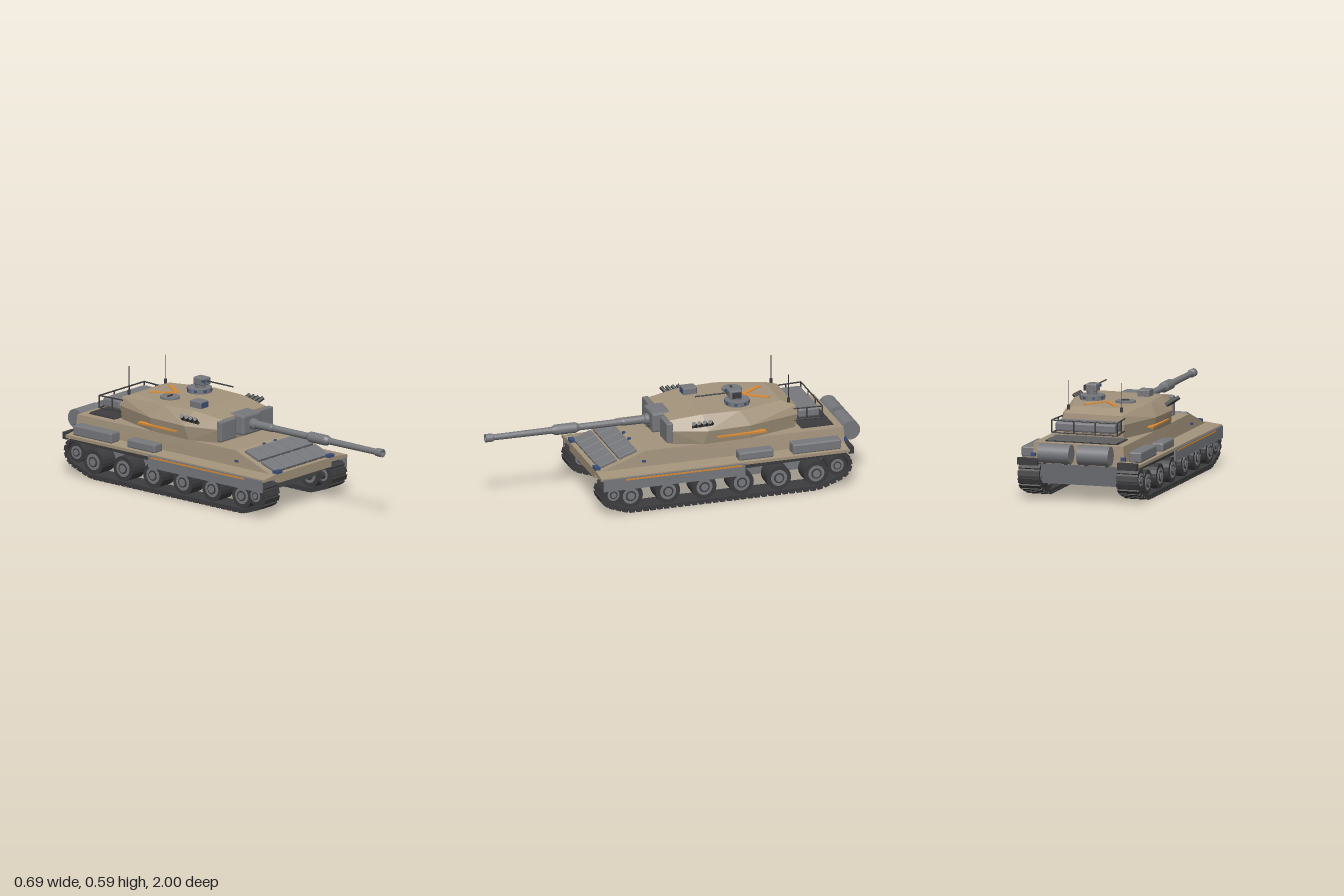
import * as THREE from 'three';
import { RoundedBoxGeometry } from 'three/addons/geometries/RoundedBoxGeometry.js';
import { ConvexGeometry } from 'three/addons/geometries/ConvexGeometry.js';

const mat = (color, flat = true) => new THREE.MeshStandardMaterial({ color, flatShading: flat });
const tan = mat(0xa3937c), grey = mat(0x77787c), dark = mat(0x3c3c3e), blue = mat(0x3c4f7c), orange = mat(0xd98a35);
const greySmooth = mat(0x77787c, false), darkSmooth = mat(0x3c3c3e, false);
const V = (x, y, z) => new THREE.Vector3(x, y, z);

export function createModel() {
  const root = new THREE.Group();
  const add = (name, geo, m, x = 0, y = 0, z = 0, parent = root) => {
    const mesh = new THREE.Mesh(geo, m);
    mesh.name = name;
    mesh.position.set(x, y, z);
    parent.add(mesh);
    return mesh;
  };
  // Box given by its extents on each axis, optionally with chamfered edges
  const box = (name, m, [x0, x1], [y0, y1], [z0, z1], chamfer = 0) => {
    const w = Math.abs(x1 - x0), h = y1 - y0, d = Math.abs(z1 - z0);
    const g = chamfer ? new RoundedBoxGeometry(w, h, d, 1, chamfer) : new THREE.BoxGeometry(w, h, d);
    return add(name, g, m, (x0 + x1) / 2, (y0 + y1) / 2, (z0 + z1) / 2);
  };
  // Convex solid from points mirrored across x
  const solid = (name, m, pts) =>
    add(name, new ConvexGeometry(pts.flatMap(([x, y, z]) => [V(x, y, z), V(-x, y, z)])), m);
  const rod = (name, m, a, b, r, sides = 6) => {
    const dir = b.clone().sub(a);
    const mesh = add(name, new THREE.CylinderGeometry(r, r, dir.length(), sides), m);
    mesh.position.copy(a).addScaledVector(dir, 0.5);
    mesh.quaternion.setFromUnitVectors(V(0, 1, 0), dir.normalize());
    return mesh;
  };

  // Hull
  solid('lowerHull', grey, [[0.21, 0.085, 0.33], [0.21, 0.172, 0.455], [0.21, 0.21, 0.455],
    [0.21, 0.085, -0.86], [0.21, 0.21, -0.89]]);
  solid('upperHull', tan, [[0.252, 0.21, 0.465], [0.245, 0.305, 0.2], [0.255, 0.21, -0.895], [0.245, 0.305, -0.89]]);
  solid('fenders', tan, [[0.335, 0.196, 0.47], [0.335, 0.21, 0.47], [0.25, 0.22, 0.47], [0.335, 0.196, -0.895],
    [0.335, 0.212, -0.895], [0.25, 0.222, -0.895]]);
  box('nosePlate', tan, [-0.21, 0.21], [0.17, 0.2], [0.44, 0.468]);

  // Glacis armour blocks, in the plane of the sloped front
  const slope = Math.atan2(0.095, 0.265);
  for (let row = 0; row < 2; row++) for (let i = -2; i <= 2; i++) {
    const z = row ? 0.397 : 0.287;
    const block = add('glacisBlock', new RoundedBoxGeometry(0.083, 0.016, 0.104, 1, 0.003), grey,
      i * 0.088, 0.305 - (z - 0.2) * Math.tan(slope) + 0.01, z);
    block.rotation.x = slope;
  }

  // Engine deck grille
  box('grilleBed', dark, [-0.2, 0.2], [0.3, 0.308], [-0.85, -0.68]);
  for (let i = 0; i < 6; i++) {
    const slat = box('grilleSlat', dark, [-0.195, 0.195], [0.306, 0.312], [-0.845 + i * 0.03, -0.823 + i * 0.03]);
    slat.rotation.x = 0.35;
  }

  // Track outline: outermost point over all wheel circles for each direction
  const wheelZ = [0.305, 0.1, -0.1, -0.305, -0.51, -0.715];
  const circles = [[0.4, 0.11, 0.05], [-0.83, 0.125, 0.057], [0.305, 0.094, 0.067], [-0.715, 0.094, 0.067]];
  const beltPoints = grow => Array.from({ length: 64 }, (_, i) => {
    const a = i / 64 * Math.PI * 2, c = Math.cos(a), s = Math.sin(a);
    const [z, y, r] = circles.reduce((p, q) =>
      q[0] * c + q[1] * s + q[2] > p[0] * c + p[1] * s + p[2] ? q : p);
    return new THREE.Vector2(z + (r + grow) * c, y + (r + grow) * s);
  });
  const belt = new THREE.Shape(beltPoints(0.016));
  belt.closePath();
  belt.holes.push(new THREE.Path(beltPoints(0.001)));
  const beltGeo = new THREE.ExtrudeGeometry(belt, { depth: 0.116, bevelEnabled: false });
  beltGeo.translate(0, 0, -0.058).rotateY(-Math.PI / 2);
  const pads = belt.getSpacedPoints(76);

  const discs = [[0.067, 0.1, dark], [0.044, 0.106, greySmooth], [0.028, 0.11, darkSmooth], [0.02, 0.116, greySmooth]];
  for (const s of [-1, 1]) {
    add('trackBelt', beltGeo, dark, s * 0.271, 0, 0);
    for (let i = 0; i < 76; i++) {
      const a = pads[i], b = pads[i + 1];
      const pad = add('trackPad', new THREE.BoxGeometry(0.118, 0.012, a.distanceTo(b) * 0.72), dark,
        s * 0.271, (a.y + b.y) / 2, (a.x + b.x) / 2);
      pad.rotation.x = -Math.atan2(b.y - a.y, b.x - a.x);
      pad.translateY(-0.004);
    }
    // Road wheels, front idler and rear sprocket
    const wheels = [...wheelZ.map(z => [z, 0.094, 1]), [0.4, 0.11, 0.74], [-0.83, 0.125, 0.8]];
    wheels.forEach(([z, y, k], n) => {
      const wheel = new THREE.Group();
      wheel.name = n < 6 ? 'roadWheel' : n === 6 ? 'idler' : 'sprocket';
      wheel.position.set(s * 0.271, y, z);
      root.add(wheel);
      discs.forEach(([r, w, m], i) => {
        const disc = add(i ? 'wheelDisc' : 'tyre', new THREE.CylinderGeometry(r * k, r * k, w, 20), m, 0, 0, 0, wheel);
        disc.rotation.z = Math.PI / 2;
      });
      for (let i = 0; i < 6; i++) {
        const a = i * Math.PI / 3;
        const bolt = add('wheelBolt', new THREE.CylinderGeometry(0.004, 0.004, 0.112, 6), grey,
          0, Math.sin(a) * 0.036 * k, Math.cos(a) * 0.036 * k, wheel);
        bolt.rotation.z = Math.PI / 2;
      }
      rod('axle', dark, V(s * 0.2, y, z), V(s * 0.23, y, z), 0.02, 10);
    });

    // Side skirts, stowage, lamps and mudguards
    box('sideSkirt', grey, [s * 0.333, s * 0.343], [0.14, 0.205], [-0.32, 0.46]);
    box('skirtStripe', orange, [s * 0.342, s * 0.346], [0.192, 0.2], [-0.3, 0.34]);
    box('rearStowageBox', grey, [s * 0.26, s * 0.33], [0.216, 0.272], [-0.85, -0.585], 0.008);
    box('midStowageBox', grey, [s * 0.262, s * 0.328], [0.216, 0.262], [-0.48, -0.29], 0.008);
    box('headlight', blue, [s * 0.187, s * 0.23], [0.22, 0.236], [0.44, 0.47]);
    box('sideLamp', blue, [s * 0.248, s * 0.257], [0.245, 0.256], [0.2, 0.22]);
    box('periscope', blue, [s * 0.04, s * 0.05], [0.294, 0.308], [0.215, 0.23]);
    box('rearMudguard', dark, [s * 0.22, s * 0.33], [0.185, 0.222], [-0.92, -0.893]);
    box('tailLight', blue, [s * 0.235, s * 0.26], [0.23, 0.25], [-0.905, -0.89]);

    // Fuel drum with brackets
    rod('fuelDrum', greySmooth, V(s * 0.022, 0.26, -0.946), V(s * 0.195, 0.26, -0.946), 0.052, 24);
    for (const x of [0.05, 0.165]) box('drumBracket', dark, [s * x, s * (x + 0.012)], [0.202, 0.215], [-0.95, -0.885]);

    // Turret fittings
    box('cheekArmour', grey, [s * 0.09, s * 0.21], [0.317, 0.425], [0.035, 0.07], 0.006);
    box('turretStripe', orange, [s * 0.235, s * 0.265], [0.335, 0.344], [-0.46, -0.19]);
    for (let i = 0; i < 4; i++) {
      const z = -0.155 + i * 0.03;
      rod('smokeTube', dark, V(s * 0.235, 0.407, z - 0.015), V(s * 0.275, 0.436, z + 0.008), 0.011, 10);
    }
    rod('smokeRack', dark, V(s * 0.24, 0.405, -0.165), V(s * 0.24, 0.405, -0.06), 0.008);
    rod('antennaBase', dark, V(s * 0.146, 0.44, -0.62), V(s * 0.146, 0.464, -0.62), 0.008, 8);
    rod('antenna', dark, V(s * 0.146, 0.46, -0.62), V(s * 0.146, 0.594, -0.62), 0.0018);
    const chevron = add('roofChevron', new THREE.BoxGeometry(0.022, 0.004, 0.145), orange, s * 0.043, 0.456, -0.475);
    chevron.rotation.y = -s * 0.61;

    // Basket side rails and posts
    for (const y of [0.345, 0.41]) rod('basketRail', dark, V(s * 0.17, y, -0.64), V(s * 0.18, y, -0.795), 0.004);
    for (const [x, z] of [[0.18, -0.795], [0.06, -0.795], [0.174, -0.71]])
      rod('basketPost', dark, V(s * x, 0.345, z), V(s * x, 0.41, z), 0.004);
  }
  for (const y of [0.345, 0.41]) rod('basketRail', dark, V(-0.182, y, -0.795), V(0.182, y, -0.795), 0.004);
  box('bustleStowage', grey, [-0.165, 0.165], [0.35, 0.4], [-0.785, -0.67], 0.01);

  // Turret shell: base, widest line and roof outlines
  solid('turret', tan, [
    [0.19, 0.305, 0.045], [0.25, 0.305, -0.12], [0.242, 0.305, -0.38], [0.165, 0.305, -0.65],
    [0.205, 0.38, 0.05], [0.265, 0.38, -0.14], [0.255, 0.38, -0.38], [0.175, 0.38, -0.66],
    [0.175, 0.43, 0.045], [0.2, 0.452, -0.13], [0.212, 0.453, -0.33], [0.135, 0.453, -0.58], [0.16, 0.425, -0.655]]);

  // Mantlet and gun
  box('mantlet', grey, [-0.074, 0.074], [0.327, 0.437], [0, 0.105], 0.012);
  rod('coaxialGun', dark, V(0.058, 0.366, 0.08), V(0.058, 0.366, 0.135), 0.004, 8);
  const profile = [[0, 0.09], [0.029, 0.09], [0.029, 0.125], [0.022, 0.13], [0.021, 0.24], [0.018, 0.25], [0.018, 0.485],
    [0.028, 0.505], [0.028, 0.615], [0.018, 0.635], [0.016, 0.955], [0.022, 0.96], [0.022, 1], [0.012, 1], [0.012, 0.95], [0, 0.95]];
  add('gunBarrel', new THREE.LatheGeometry(profile.map(p => new THREE.Vector2(...p)), 20), grey, 0, 0.382, 0).rotation.x = Math.PI / 2;

  // Commander's cupola with vision blocks and remote weapon
  rod('cupola', grey, V(0.105, 0.445, -0.35), V(0.105, 0.478, -0.35), 0.066, 16);
  for (let i = 0; i < 8; i++) {
    const a = (i + 0.5) * Math.PI / 4;
    const block = add('visionBlock', new THREE.BoxGeometry(0.016, 0.012, 0.01), blue,
      0.105 + Math.sin(a) * 0.063, 0.467, -0.35 + Math.cos(a) * 0.063);
    block.rotation.y = a;
  }
  rod('weaponPost', grey, V(0.107, 0.475, -0.345), V(0.107, 0.498, -0.345), 0.028, 12);
  box('weaponHousing', grey, [0.078, 0.137], [0.493, 0.535], [-0.37, -0.3], 0.006);
  box('weaponSight', blue, [0.075, 0.087], [0.512, 0.528], [-0.31, -0.292]);
  box('ammunitionBox', dark, [0.136, 0.151], [0.497, 0.525], [-0.36, -0.315]);
  rod('machineGun', dark, V(0.107, 0.518, -0.32), V(0.107, 0.518, -0.12), 0.004, 8);

  // Second crew hatch and gunner's sight
  rod('crewHatch', grey, V(-0.09, 0.445, -0.385), V(-0.09, 0.462, -0.385), 0.053, 20);
  box('hatchHandle', dark, [-0.11, -0.07], [0.46, 0.468], [-0.389, -0.381]);
  box('gunnerSight', grey, [-0.155, -0.09], [0.44, 0.488], [-0.195, -0.12], 0.005);
  box('sightWindow', blue, [-0.146, -0.099], [0.454, 0.481], [-0.125, -0.117]);
  return root;
}
